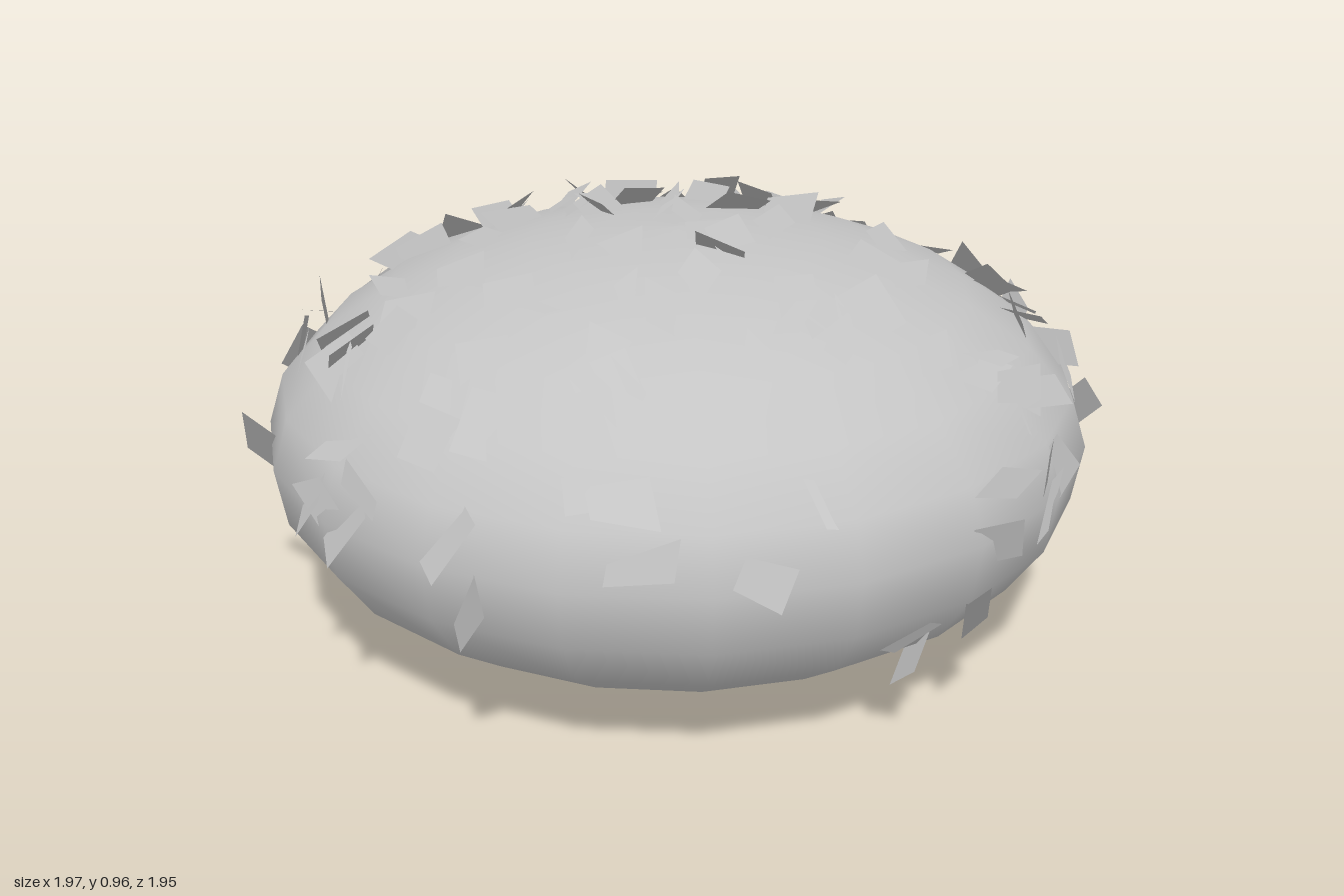
import * as THREE from 'three';
import { mergeGeometries } from 'three/addons/utils/BufferGeometryUtils.js';

// Shell profile (radius, height) from the open bottom rim to the crown
const PROFILE = [
  [0.535, 0.037], [0.70, 0.13], [0.835, 0.225], [0.915, 0.34], [0.937, 0.47], [0.9, 0.585],
  [0.8, 0.692], [0.66, 0.783], [0.5, 0.845], [0.33, 0.886], [0.17, 0.908], [0, 0.915],
].map(([r, y]) => new THREE.Vector2(r, y));
const CENTRE_X = -0.015;

function seeded(seed) {
  return () => {
    seed = (seed * 1664525 + 1013904223) % 4294967296;
    return seed / 4294967296;
  };
}

// Point and outward normal on the shell at profile position u (0..1) and azimuth a
function surface(u, a) {
  const f = Math.min(u, 0.9999) * (PROFILE.length - 1);
  const i = Math.floor(f);
  const p = PROFILE[i].clone().lerp(PROFILE[i + 1], f - i);
  const d = PROFILE[i + 1].clone().sub(PROFILE[i]).normalize();
  return {
    radius: p.x,
    point: new THREE.Vector3(p.x * Math.sin(a), p.y, p.x * Math.cos(a)),
    normal: new THREE.Vector3(d.y * Math.sin(a), -d.x, d.y * Math.cos(a)),
  };
}

// A small flat flake half sunk in the shell, shaded with the shell's normal
function flake(u, a, width, length, turn, tilt, spin) {
  const { point, normal } = surface(u, a);
  const z = new THREE.Vector3(0, 0, 1);
  const q = new THREE.Quaternion().setFromUnitVectors(z, normal)
    .multiply(new THREE.Quaternion().setFromAxisAngle(z, turn))
    .multiply(new THREE.Quaternion().setFromAxisAngle(new THREE.Vector3(1, 0, 0), tilt))
    .multiply(new THREE.Quaternion().setFromAxisAngle(z, spin));
  const g = new THREE.PlaneGeometry(width, length).applyQuaternion(q);
  g.translate(point.x, point.y, point.z);
  const pos = g.attributes.position;
  for (let i = 0; i < pos.count; i++) {
    pos.setY(i, Math.max(0, pos.getY(i)));
    g.attributes.normal.setXYZ(i, normal.x, normal.y, normal.z);
  }
  return g;
}

export function createModel() {
  const group = new THREE.Group();
  const grey = new THREE.MeshStandardMaterial({ color: 0xc4c4c4, side: THREE.DoubleSide });
  grey.name = 'soft grey';

  // Hollow squashed shell, open underneath
  const shell = new THREE.Mesh(new THREE.LatheGeometry(PROFILE, 20), grey);
  shell.name = 'shell';
  shell.position.x = CENTRE_X;
  group.add(shell);

  // One flake under the rim, the rest scattered: dense above, sparse below
  const rand = seeded(4217);
  const flakes = [flake(0.02, Math.atan2(0.42, -0.46), 0.09, 0.13, 0.4, 0.7, 0.3)];
  while (flakes.length < 150) {
    const u = 0.08 + rand() * 0.92;
    const a = rand() * Math.PI * 2;
    const density = u < 0.33 ? 0.18 : u < 0.45 ? 0.55 : 1;
    if (rand() > (surface(u, a).radius / 0.93) * density) continue;
    flakes.push(flake(
      u, a,
      0.09 + rand() * 0.06, 0.1 + rand() * 0.06,
      rand() * Math.PI * 2, 0.35 + rand() * 0.55, (rand() - 0.5) * 0.9,
    ));
  }
  const coat = new THREE.Mesh(mergeGeometries(flakes), grey);
  coat.name = 'flakes';
  coat.position.x = CENTRE_X;
  group.add(coat);

  return group;
}
